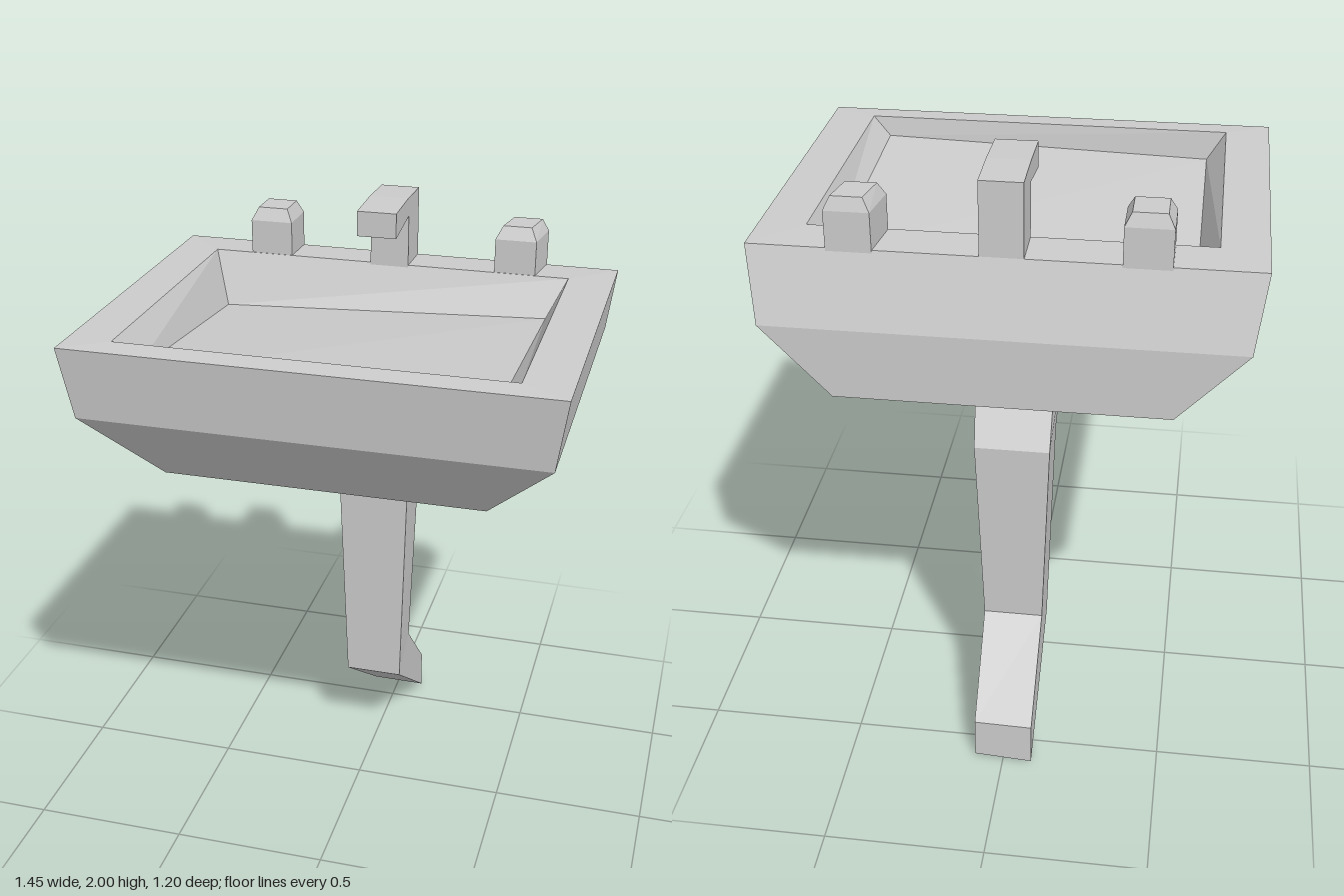
import * as THREE from 'three';

const material = new THREE.MeshStandardMaterial({ color: 0xcccccc, flatShading: true });

// Four corners, counter-clockwise from above; front and back edges may differ in height,
// and skew shifts the back edge sideways.
function section(x0, x1, zFront, yFront, zBack, yBack = yFront, skew = 0) {
  return [
    [x0, yFront, zFront], [x1, yFront, zFront],
    [x1 + skew, yBack, zBack], [x0 + skew, yBack, zBack],
  ];
}

// Skins four-cornered sections in order and caps both ends.
function loft(name, sections) {
  const positions = [];
  const quad = (a, b, c, d) => positions.push(...a, ...b, ...c, ...a, ...c, ...d);
  for (let s = 0; s < sections.length - 1; s++) {
    const low = sections[s], high = sections[s + 1];
    for (let i = 0; i < 4; i++) {
      const j = (i + 1) % 4;
      quad(low[i], low[j], high[j], high[i]);
    }
  }
  quad(...[...sections[0]].reverse());
  quad(...sections[sections.length - 1]);
  const geometry = new THREE.BufferGeometry();
  geometry.setAttribute('position', new THREE.Float32BufferAttribute(positions, 3));
  geometry.computeVertexNormals();
  const mesh = new THREE.Mesh(geometry, material);
  mesh.name = name;
  return mesh;
}

// Tap handle with a chamfered top
function knob(name, x0, x1, skew) {
  return loft(name, [
    section(x0, x1, -0.365, 1.765, -0.503, 1.765, skew),
    section(x0, x1, -0.365, 1.885, -0.503, 1.885, skew),
    section(x0 + 0.02, x1 - 0.02, -0.385, 1.925, -0.49, 1.925, skew),
  ]);
}

// Spout: side profile extruded across x
function spout() {
  const profile = [
    [-0.5, 1.765], [-0.36, 1.765], [-0.36, 1.94], [-0.19, 1.915],
    [-0.19, 1.994], [-0.35, 2.0], [-0.5, 1.996],
  ];
  const shape = new THREE.Shape(profile.map(([z, y]) => new THREE.Vector2(-z, y)));
  const geometry = new THREE.ExtrudeGeometry(shape, { depth: 0.125, bevelEnabled: false });
  geometry.rotateY(Math.PI / 2).translate(-0.059, 0, 0);
  const mesh = new THREE.Mesh(geometry, material);
  mesh.name = 'spout';
  return mesh;
}

export function createModel() {
  const group = new THREE.Group();
  group.name = 'sink';

  // Basin: up the outside, over the rim, down to a floor that falls towards one back corner
  group.add(loft('basin', [
    section(-0.24, 0.24, 0.195, 1.235, -0.325),
    section(-0.49, 0.49, 0.425, 1.333, -0.565),
    section(-0.695, 0.695, 0.575, 1.552, -0.568),
    section(-0.727, 0.727, 0.6, 1.773, -0.5),
    section(-0.588, 0.585, 0.52, 1.777, -0.363),
    [[-0.53, 1.685, 0.51], [0.53, 1.715, 0.51], [0.53, 1.665, -0.288], [-0.53, 1.615, -0.288]],
  ]));

  // Drain pipe: from the slightly turned wall end, up through two bends, into the basin
  group.add(loft('drainPipe', [
    [[-0.093, 0, -0.598], [0.093, 0.004, -0.59], [0.093, 0.14, -0.588], [-0.093, 0.144, -0.596]],
    section(-0.094, 0.097, -0.19, 0.305, -0.33, 0.395),
    section(-0.117, 0.117, -0.18, 1.045, -0.35, 1.05),
    section(-0.128, 0.117, -0.03, 1.26, -0.225, 1.26, 0.011),
  ]));

  group.add(spout());
  group.add(knob('rightKnob', -0.465, -0.328, 0));
  group.add(knob('leftKnob', 0.347, 0.478, 0.018));
  return group;
}
